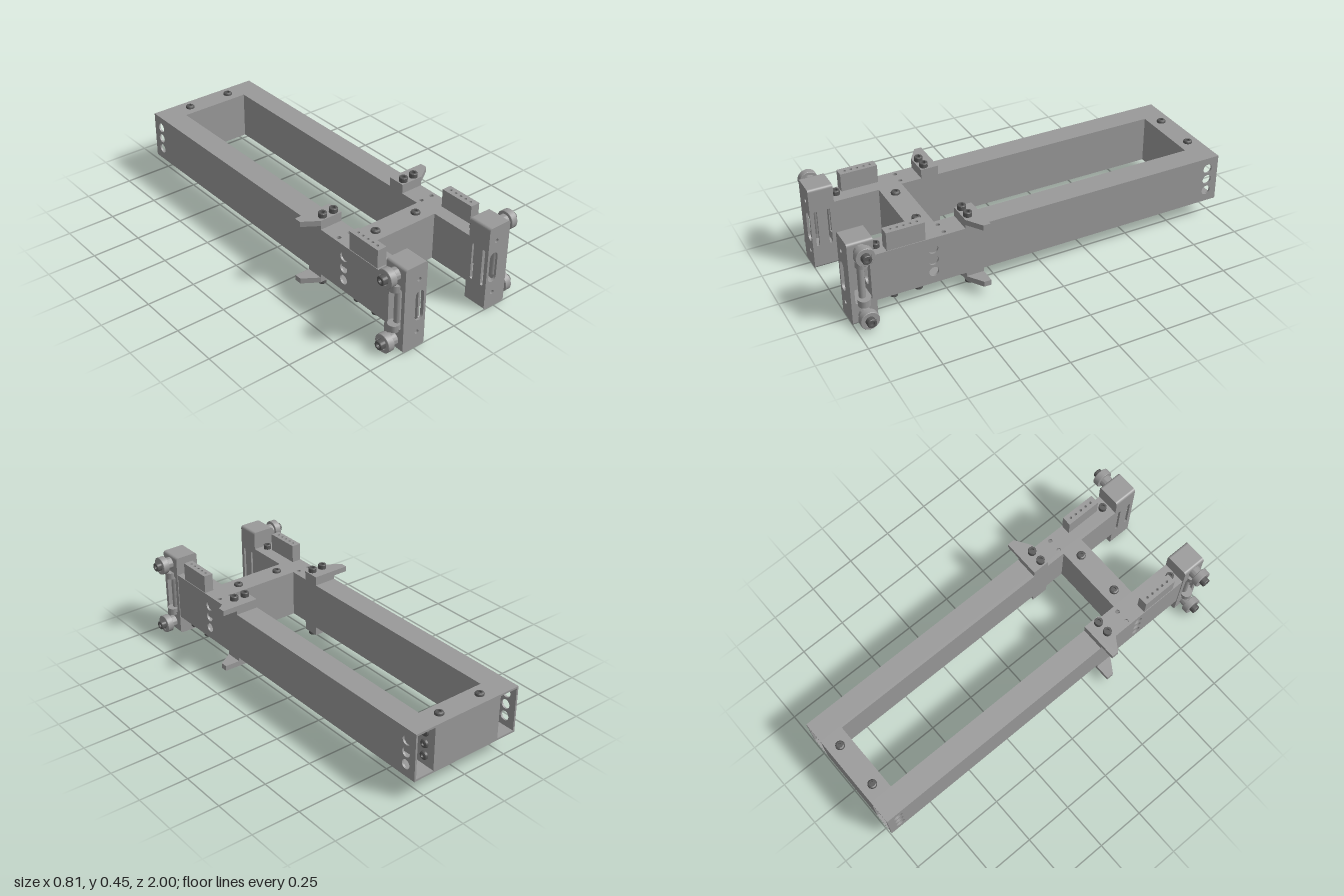
import * as THREE from 'three';
import { toCreasedNormals } from 'three/addons/utils/BufferGeometryUtils.js';

const material = (name, color) => Object.assign(new THREE.MeshStandardMaterial({ color }), { name });
const grey = material('machined grey', 0x999999);
const dark = material('dark bolt steel', 0x595959);

// Rounded rectangle outline between two corners
function rounded(u0, v0, u1, v1, r, Kind = THREE.Path) {
  const p = new Kind();
  p.moveTo(u0 + r, v0);
  p.lineTo(u1 - r, v0);
  p.absarc(u1 - r, v0 + r, r, -Math.PI / 2, 0);
  p.lineTo(u1, v1 - r);
  p.absarc(u1 - r, v1 - r, r, 0, Math.PI / 2);
  p.lineTo(u0 + r, v1);
  p.absarc(u0 + r, v1 - r, r, Math.PI / 2, Math.PI);
  p.lineTo(u0, v0 + r);
  p.absarc(u0 + r, v0 + r, r, Math.PI, Math.PI * 1.5);
  return p;
}
const poly = pts => new THREE.Shape(pts.map(([u, v]) => new THREE.Vector2(u, v)));
const rect = (u0, v0, u1, v1) => poly([[u0, v0], [u1, v0], [u1, v1], [u0, v1]]);
const hole = (u, v, r) => new THREE.Path().absarc(u, v, r, 0, Math.PI * 2);

// Extrusion with holes, from position a to b along the given axis
function plate(shape, holes, axis, a, b) {
  shape.holes.push(...holes);
  const g = new THREE.ExtrudeGeometry(shape, { depth: b - a, bevelEnabled: false, curveSegments: 10 });
  if (axis === 'x') return g.rotateY(-Math.PI / 2).translate(b, 0, 0); // shape is (z, y)
  if (axis === 'y') return g.rotateX(Math.PI / 2).translate(0, b, 0); // shape is (x, z)
  return g.translate(0, 0, a); // shape is (x, y)
}

function box(x0, x1, y0, y1, z0, z1) {
  return new THREE.BoxGeometry(x1 - x0, y1 - y0, z1 - z0)
    .translate((x0 + x1) / 2, (y0 + y1) / 2, (z0 + z1) / 2);
}

// Turned part along +y, sharp where the profile bends strongly
function turned(pts) {
  const g = new THREE.LatheGeometry(pts.map(([r, y]) => new THREE.Vector2(r, y)), 28);
  return toCreasedNormals(g, 0.5);
}
const buttonHead = (r, h) => turned([[r, 0], [r, h * 0.4], [r * 0.9, h * 0.75], [r * 0.65, h],
  [r * 0.4, h], [r * 0.4, h * 0.4], [0, h * 0.4]]);
const capHead = (r, h) => turned([[r, 0], [r, h * 0.88], [r * 0.9, h], [r * 0.5, h],
  [r * 0.5, h * 0.5], [0, h * 0.5]]);

// Mirror across x = 0 and restore the corner order
function mirrored(geo) {
  const g = geo.index ? geo.toNonIndexed() : geo.clone();
  g.scale(-1, 1, 1);
  for (const a of Object.values(g.attributes)) {
    for (let i = 0; i < a.count; i += 3) {
      for (let k = 0; k < a.itemSize; k++) {
        const t = a.getComponent(i + 1, k);
        a.setComponent(i + 1, k, a.getComponent(i + 2, k));
        a.setComponent(i + 2, k, t);
      }
    }
  }
  return g;
}

export function createModel() {
  const model = new THREE.Group();
  model.name = 'railFrame';
  const add = (name, geo, mat = grey) => {
    const m = new THREE.Mesh(geo, mat);
    m.name = name;
    model.add(m);
  };
  const pair = (name, geo, mat) => {
    add(name + 'Left', geo, mat);
    add(name + 'Right', mirrored(geo), mat);
  };

  const IN = 0.188, OUT = 0.31, LOW = 0.1, HIGH = 0.35, WALL = 0.01;
  const BACK = -1, FRONT = 0.875, MID = (LOW + HIGH) / 2;
  const boltRows = [0.163, 0.226, 0.289];
  const crossZ = [0.585, -0.94];

  // Hollow rails, open at the rear
  const access = crossZ.flatMap(z => boltRows.map(y => hole(z, y, 0.025)));
  pair('railOuterWall', plate(rect(BACK, LOW, FRONT, HIGH), access, 'x', OUT - WALL, OUT));
  pair('railInnerWall', box(IN, IN + WALL, LOW, HIGH, BACK, FRONT));
  for (const [name, y] of [['railTopWall', HIGH - WALL], ['railBottomWall', LOW]]) {
    const pins = [0.22, 0.285].map(x => hole(x, 0.52, 0.011));
    pair(name, plate(rect(IN + WALL, BACK, OUT - WALL, FRONT), pins, 'y', y, y + WALL));
  }

  // Cross members and their bolts
  for (const z of crossZ) {
    add('crossMember', box(-IN, IN, LOW, HIGH, z - 0.06, z + 0.06));
    pair('crossBoltTop', buttonHead(0.023, 0.014).translate(0.123, HIGH, z), dark);
    pair('crossBoltBottom', buttonHead(0.023, 0.014).rotateX(Math.PI).translate(0.123, LOW, z), dark);
    for (const y of boltRows) {
      pair('crossEndBolt', buttonHead(0.022, 0.015).rotateZ(-Math.PI / 2).translate(IN + WALL, y, z), dark);
    }
  }

  // Guide fins above and below the rails
  const fin = () => poly([[IN, 0.33], [0.39, 0.33], [0.39, 0.367], [OUT, 0.42], [IN, 0.42]]);
  for (const up of [true, false]) {
    const at = h => (up ? HIGH + h : LOW - h);
    const span = (a, b) => [Math.min(at(a), at(b)), Math.max(at(a), at(b))];
    pair('finSpacer', box(IN, OUT, ...span(0, 0.02), 0.33, 0.42));
    pair('guideFin', plate(fin(), [], 'y', ...span(0.02, 0.048)));
    for (const x of [0.216, 0.28]) {
      pair('finBolt', capHead(0.021, 0.024).rotateX(up ? 0 : Math.PI).translate(x, at(0.048), 0.394), dark);
    }
  }

  // Drilled blocks on the rails
  const drills = [0.65, 0.682, 0.715, 0.747, 0.779].map(z => hole(0.282, z, 0.007));
  pair('drilledBlock', plate(rect(0.257, 0.62, 0.307, 0.81), drills, 'y', HIGH, 0.445));
  for (const z of [0.655, 0.78]) {
    pair('blockBolt', capHead(0.02, 0.024).rotateX(Math.PI).translate(0.28, LOW, z), dark);
  }
  pair('bracketBoltTop', capHead(0.02, 0.024).translate(0.25, HIGH, 0.842), dark);
  pair('bracketBoltBottom', capHead(0.02, 0.024).rotateX(Math.PI).translate(0.25, LOW, 0.842), dark);

  // Slotted end brackets
  const X0 = 0.188, X1 = 0.314, TOP = 0.446, SKIN = 0.012;
  const outline = () => rounded(X0, 0, X1, TOP, 0.014, THREE.Shape);
  const slot = () => rounded(0.201, 0.145, 0.25, 0.305, 0.0244);
  const dimples = [0.083, 0.368].map(y => hole(0.234, y, 0.011));
  pair('bracketFront', plate(outline(), [slot(), ...dimples], 'z', 1 - SKIN, 1));
  pair('bracketBack', plate(outline(), [slot()], 'z', FRONT, FRONT + SKIN));
  for (const [y0, y1] of [[0, 0.105], [0.341, TOP]]) {
    pair('bracketEnd', plate(rounded(X0, y0, X1, y1, 0.014, THREE.Shape), [], 'z', FRONT + SKIN, 1 - SKIN));
  }
  const sideSlots = [0.906, 0.972].map(z => rounded(z - 0.008, 0.125, z + 0.008, 0.321, 0.0079));
  const sideOpening = rounded(0.897, 0.115, 0.98, 0.331, 0.01);
  for (const [x, cuts] of [[X0, sideSlots], [X1 - SKIN, [sideOpening]]]) {
    pair('bracketSide', plate(rect(FRONT + SKIN, 0.09, 1 - SKIN, 0.356), cuts, 'x', x, x + SKIN));
  }

  // Vertical guide rod in the side opening, held between two rounded lugs
  for (const y of [0.1175, 0.3325]) {
    pair('rodLug', toCreasedNormals(
      new THREE.CylinderGeometry(0.03, 0.03, 0.035, 28).translate(X1 + 0.001, y, 0.938), 0.5));
  }
  pair('guideRod', toCreasedNormals(
    new THREE.CylinderGeometry(0.017, 0.017, 0.19, 20).translate(X1 - 0.018, MID, 0.938), 0.5));

  // Rollers with hubs and axle bolts
  for (const y of [0.05, 0.4]) {
    const place = (g, x) => g.rotateZ(-Math.PI / 2).translate(x, y, 0.938);
    pair('rollerHub', place(turned([[0.032, 0], [0.032, 0.034], [0, 0.034]]), X1));
    pair('roller', place(turned([[0, 0], [0.045, 0], [0.047, 0.002], [0.047, 0.033],
      [0.045, 0.035], [0.03, 0.035], [0.03, 0.031], [0, 0.031]]), 0.346));
    pair('axleBolt', place(capHead(0.023, 0.028), 0.377), dark);
  }
  return model;
}
